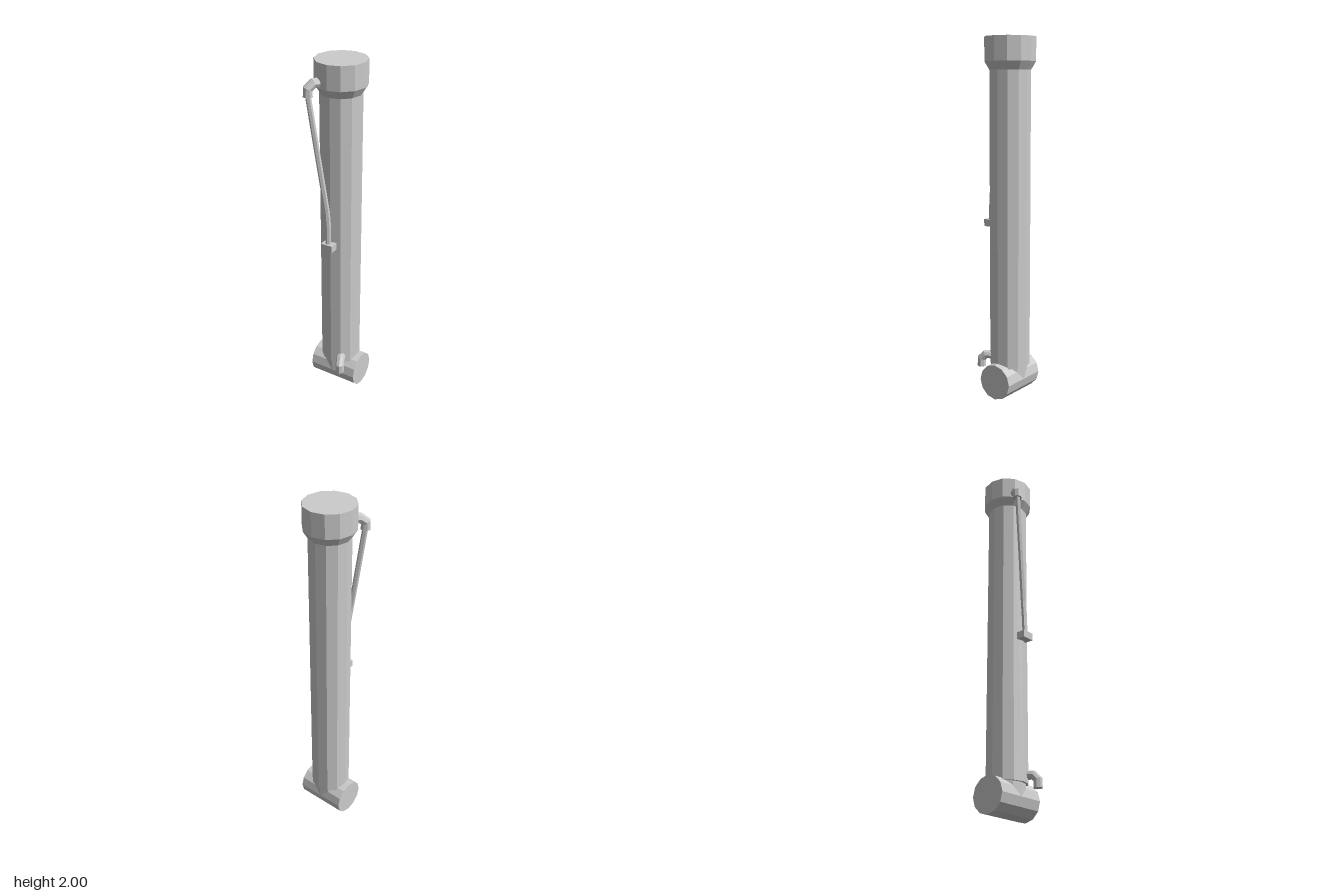
import * as THREE from 'three';

const material = new THREE.MeshStandardMaterial({ color: 0xcccccc, flatShading: true });
const AXIS_Z = -0.025; // depth of the barrel's centre line

// Straight-segment path whose corners are sampled exactly
class PolyPath extends THREE.Curve {
  constructor(points) {
    super();
    this.points = points.map((p) => new THREE.Vector3(...p));
  }
  getUtoTmapping(u) {
    return u;
  }
  getPoint(t, target = new THREE.Vector3()) {
    const n = this.points.length - 1;
    const i = Math.min(Math.floor(t * n), n - 1);
    return target.lerpVectors(this.points[i], this.points[i + 1], t * n - i);
  }
}

function addMesh(parent, name, geometry, x = 0, y = 0, z = 0) {
  const mesh = new THREE.Mesh(geometry, material);
  mesh.name = name;
  mesh.position.set(x, y, z);
  parent.add(mesh);
  return mesh;
}

function addPipe(parent, name, points, radius, sides) {
  const path = new PolyPath(points);
  return addMesh(parent, name, new THREE.TubeGeometry(path, points.length - 1, radius, sides));
}

// Elbow fitting: leaves the wall at (x0, z0), bends down at (x1, z1) and ends at yEnd
function addElbow(parent, name, [x0, z0], [x1, z1], y, yEnd, radius) {
  const group = new THREE.Group();
  group.name = name;
  const mix = (k) => [x0 + (x1 - x0) * k, z0 + (z1 - z0) * k];
  const [xa, za] = mix(0.62);
  addPipe(group, name + 'Bend', [
    [x0, y, z0],
    [xa, y, za],
    [x1, y - 0.025, z1],
    [x1, yEnd, z1],
  ], radius, 8);
  const cap = addMesh(group, name + 'Cap', new THREE.CircleGeometry(radius, 8), x1, yEnd, z1);
  cap.rotation.x = Math.PI / 2;
  parent.add(group);
}

export function createModel() {
  const model = new THREE.Group();
  model.name = 'hydraulicCylinder';

  // Barrel with a flared collar on top and a narrower neck below
  const profile = [
    [0, 0.1], [0.1, 0.1], [0.1, 0.175], [0.113, 0.175],
    [0.113, 1.825], [0.14, 1.87], [0.14, 2], [0, 2],
  ].map(([r, y]) => new THREE.Vector2(r, y));
  addMesh(model, 'barrel', new THREE.LatheGeometry(profile, 12), 0, 0, AXIS_Z);

  // Cross pivot at the foot
  const pivot = addMesh(model, 'pivot', new THREE.CylinderGeometry(0.1, 0.1, 0.29, 12), 0, 0.1, AXIS_Z);
  pivot.rotation.z = Math.PI / 2;

  // Hose fittings
  addElbow(model, 'upperElbow', [-0.05, 0.07], [-0.096, 0.138], 1.895, 1.83, 0.027);
  addElbow(model, 'lowerElbow', [0.055, 0.06], [0.079, 0.118], 0.22, 0.15, 0.025);

  // Hose running down to its clamp
  addPipe(model, 'hose', [
    [-0.096, 1.85, 0.14],
    [-0.05, 1.5, 0.122],
    [-0.009, 1.19, 0.104],
    [-0.002, 1.1, 0.104],
    [0, 0.98, 0.108],
  ], 0.015, 6);
  addMesh(model, 'hoseClamp', new THREE.BoxGeometry(0.07, 0.04, 0.05), 0, 0.98, 0.105);

  return model;
}
